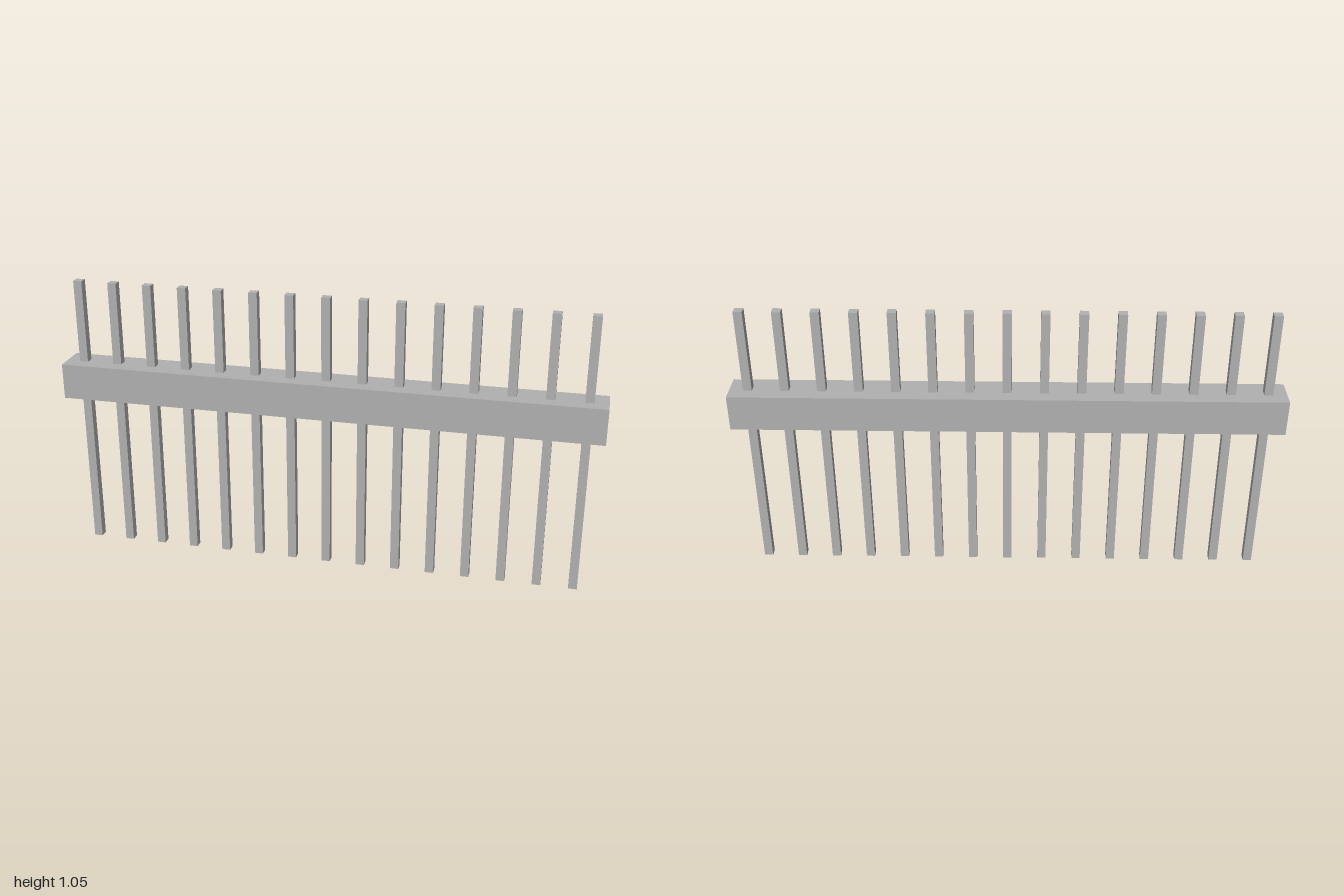
import * as THREE from 'three';

const PIN_COUNT = 15;
const PITCH = 2 / PIN_COUNT;
const PIN_WIDTH = 0.032;
const PIN_HEIGHT = 1.05;
const BAR_BOTTOM = 0.605;

export function createModel() {
  const model = new THREE.Group();
  model.name = 'pinHeader';
  const grey = new THREE.MeshStandardMaterial({ color: 0xb0b0b0 });
  grey.name = 'grey';

  // Square-section bar that holds the row of pins
  const bar = new THREE.Mesh(new THREE.BoxGeometry(2, PITCH, PITCH), grey);
  bar.name = 'bar';
  bar.position.y = BAR_BOTTOM + PITCH / 2;
  model.add(bar);

  // Evenly spaced square pins running through the bar
  const pins = new THREE.Group();
  pins.name = 'pins';
  const pinGeometry = new THREE.BoxGeometry(PIN_WIDTH, PIN_HEIGHT, PIN_WIDTH);
  for (let i = 0; i < PIN_COUNT; i++) {
    const pin = new THREE.Mesh(pinGeometry, grey);
    pin.name = `pin${i + 1}`;
    pin.position.set((i - (PIN_COUNT - 1) / 2) * PITCH, PIN_HEIGHT / 2, 0);
    pins.add(pin);
  }
  model.add(pins);

  return model;
}
